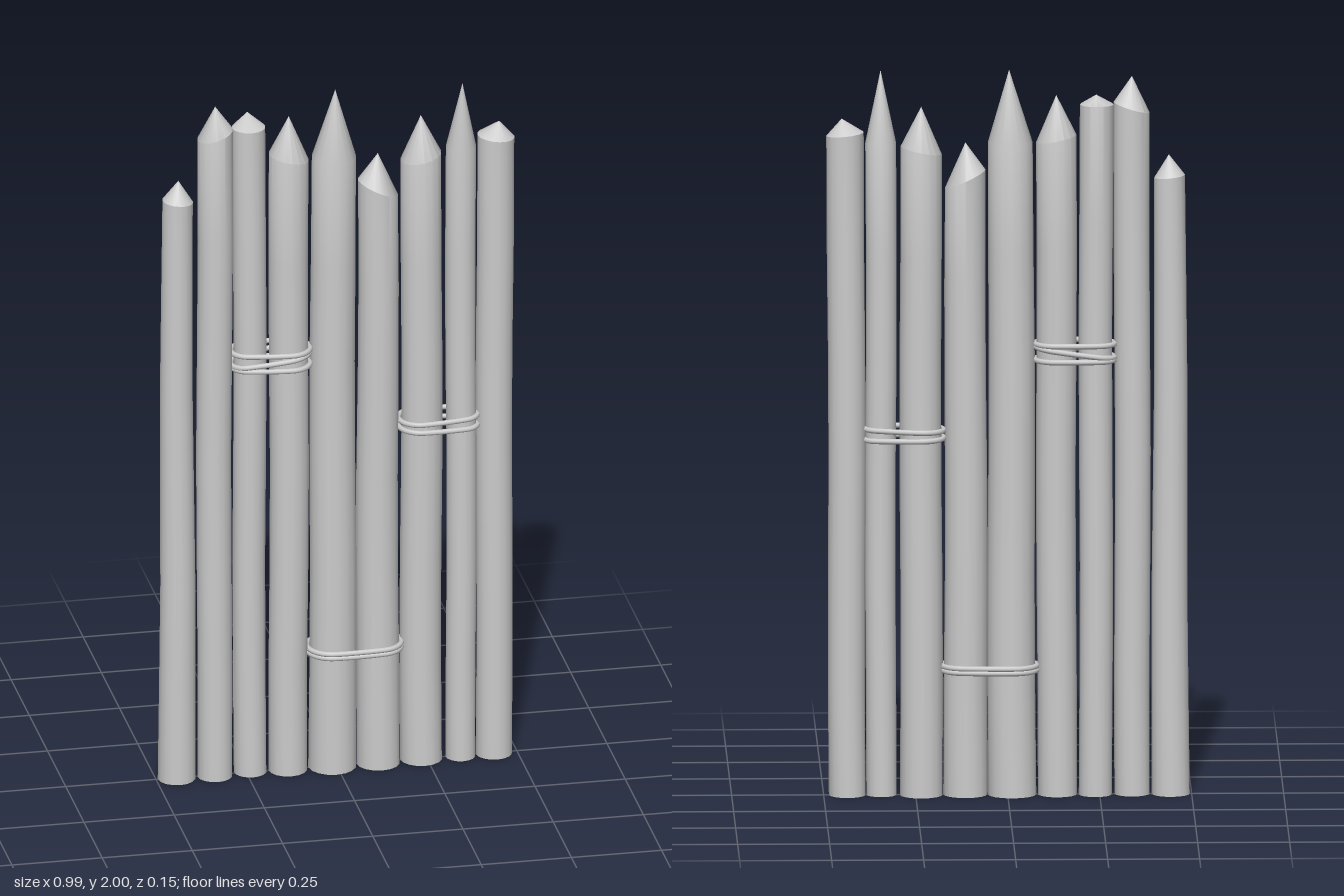
import * as THREE from 'three';
import { toCreasedNormals } from 'three/addons/utils/BufferGeometryUtils.js';

const material = new THREE.MeshStandardMaterial({ color: 0xcccccc });

// base x, base radius, shoulder x, shoulder radius, shoulder y, tip x, tip y, tip z, z, shoulder rise towards +x
const STAKES = [
  [-0.443, 0.052, -0.44, 0.042, 1.705, -0.438, 1.765, 0, 0, -0.1],
  [-0.338, 0.048, -0.337, 0.049, 1.895, -0.338, 1.98, 0.01, 0.004, 0.3],
  [-0.238, 0.045, -0.242, 0.046, 1.905, -0.24, 1.937, -0.035, -0.006, 0],
  [-0.135, 0.053, -0.132, 0.055, 1.81, -0.132, 1.93, 0, 0, -0.2],
  [-0.012, 0.066, -0.007, 0.061, 1.8, -0.004, 2.0, 0.004, 0, 0],
  [0.115, 0.06, 0.115, 0.055, 1.7, 0.115, 1.8, 0, 0.002, -0.45],
  [0.235, 0.058, 0.235, 0.056, 1.78, 0.235, 1.9, -0.005, -0.004, 0.2],
  [0.343, 0.041, 0.345, 0.042, 1.8, 0.345, 1.997, 0.022, 0.002, 0],
  [0.436, 0.05, 0.442, 0.051, 1.825, 0.451, 1.867, 0, 0, -0.1],
];

// Sharpened pole: a lathe whose rings are shifted so it leans and bows a little
function makeStake([bx, br, sx, sr, sy, tx, ty, tz, z, skew], index) {
  const rings = 6;
  const profile = [new THREE.Vector2(0, 0)];
  for (let i = 0; i <= rings; i++) {
    const t = i / rings;
    profile.push(new THREE.Vector2(br + (sr - br) * t, sy * t));
  }
  profile.push(new THREE.Vector2(0, ty));
  const geometry = new THREE.LatheGeometry(profile, 16);
  const p = geometry.attributes.position;
  for (let i = 0; i < p.count; i++) {
    const x = p.getX(i), y = p.getY(i);
    const t = Math.min(y / sy, 1);
    const tip = y > sy + 1e-4;
    const bow = 0.003 * Math.sin(t * Math.PI * 2 + index * 1.7) * Math.sin(t * Math.PI);
    const cut = !tip && t > 0.999 ? skew * x : 0;
    p.setXYZ(i,
      tip ? tx : x + bx + (sx - bx) * t + bow,
      y + cut,
      tip ? tz : p.getZ(i) + z + bow);
  }
  const mesh = new THREE.Mesh(toCreasedNormals(geometry, 0.5), material);
  mesh.name = `stake${index + 1}`;
  return mesh;
}

// Cord pulled taut around two neighbouring stakes, tilted by slope along x
function makeCord(a, b, y, slope, thickness) {
  const [p, q] = [STAKES[a], STAKES[b]];
  const t = y / 1.8;
  const circle = (s) => ({
    x: s[0] + (s[2] - s[0]) * t,
    z: s[8],
    r: s[1] + (s[3] - s[1]) * t + thickness * 0.6,
  });
  const A = circle(p), B = circle(q);
  const touch = Math.acos((A.r - B.r) / Math.hypot(B.x - A.x, B.z - A.z));
  const middle = (A.x + B.x) / 2;
  const points = [];
  const arc = (c, from, to) => {
    for (let i = 0; i <= 8; i++) {
      const angle = from + (to - from) * i / 8;
      const x = c.x + c.r * Math.cos(angle);
      points.push(new THREE.Vector3(x, y + slope * (x - middle), c.z + c.r * Math.sin(angle)));
    }
  };
  arc(A, touch, Math.PI * 2 - touch);
  arc(B, -touch, touch);
  const path = new THREE.CatmullRomCurve3(points, true, 'centripetal');
  return new THREE.Mesh(new THREE.TubeGeometry(path, 72, thickness, 8, true), material);
}

// first stake, second stake, then [height, slope] for each turn of cord
const BINDINGS = [
  ['upperBinding', 2, 3, [[1.245, 0], [1.222, 0.14], [1.201, 0]]],
  ['middleBinding', 6, 7, [[1.01, 0.02], [0.984, -0.02]]],
  ['lowerBinding', 4, 5, [[0.357, 0], [0.345, 0]]],
];

export function createModel() {
  const model = new THREE.Group();
  model.name = 'palisade';

  // Row of stakes
  STAKES.forEach((stake, i) => model.add(makeStake(stake, i)));

  // Cord bindings
  for (const [name, a, b, turns] of BINDINGS) {
    const binding = new THREE.Group();
    binding.name = name;
    for (const [y, slope] of turns) binding.add(makeCord(a, b, y, slope, 0.0075));
    model.add(binding);
  }
  return model;
}
